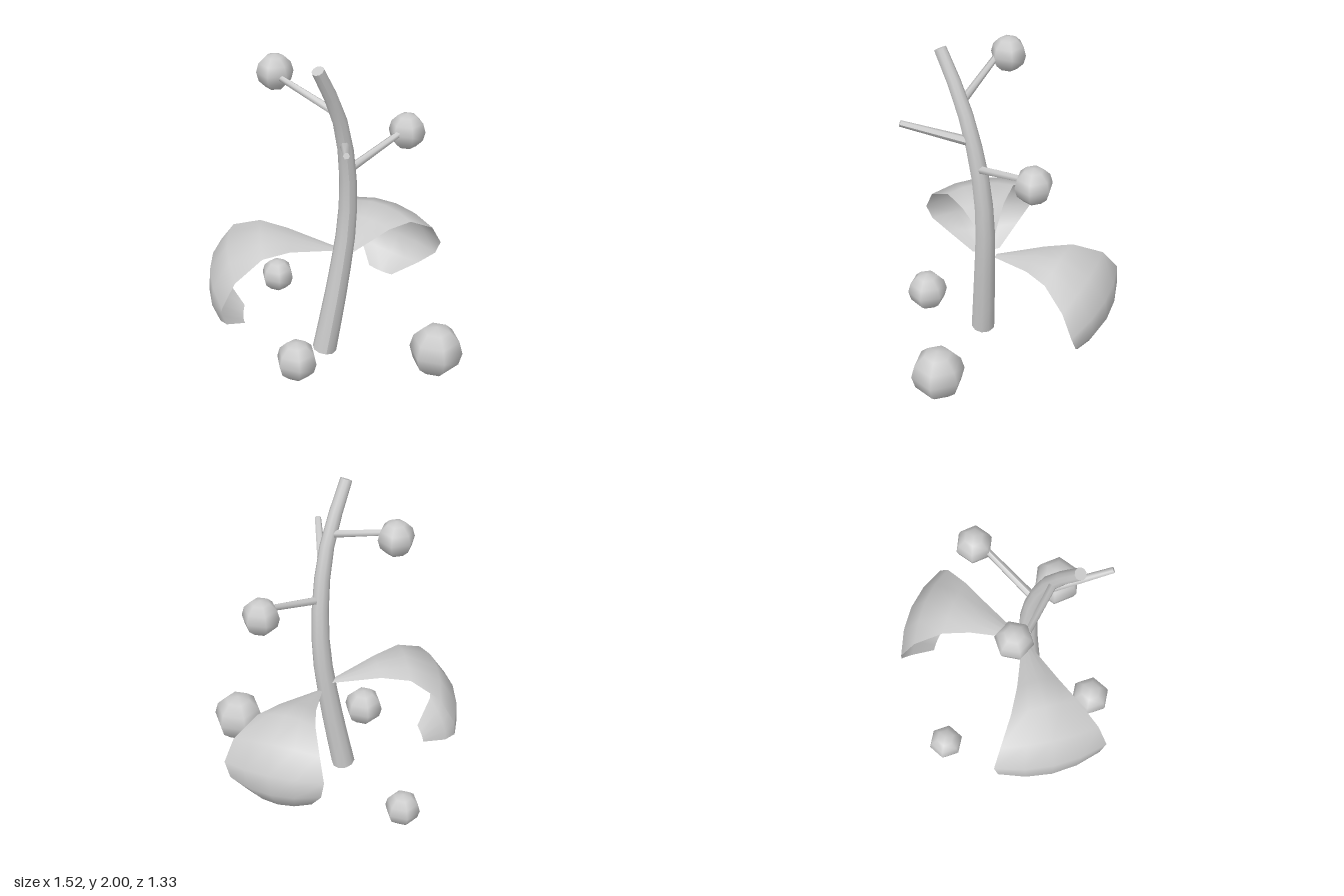
import * as THREE from 'three';

const V = (x, y, z) => new THREE.Vector3(x, y, z);

export function createModel() {
  const model = new THREE.Group();
  const solid = new THREE.MeshStandardMaterial({ color: 0xcccccc });
  const thin = new THREE.MeshStandardMaterial({ color: 0xcccccc, side: THREE.DoubleSide });

  const add = (name, geometry, material = solid, parent = model) => {
    const mesh = new THREE.Mesh(geometry, material);
    mesh.name = name;
    parent.add(mesh);
    return mesh;
  };

  // Tapered, capped tube along a path
  const limb = (name, points, r0, r1, steps, sides) => {
    const group = new THREE.Group();
    group.name = name;
    model.add(group);
    const curve = new THREE.CatmullRomCurve3(points);
    const tube = new THREE.TubeGeometry(curve, steps, r0, sides);
    const pos = tube.attributes.position;
    const p = V(0, 0, 0);
    for (let i = 0; i <= steps; i++) {
      const centre = curve.getPointAt(i / steps);
      const scale = THREE.MathUtils.lerp(1, r1 / r0, i / steps);
      for (let j = 0; j <= sides; j++) {
        const k = i * (sides + 1) + j;
        p.fromBufferAttribute(pos, k).sub(centre).multiplyScalar(scale).add(centre);
        pos.setXYZ(k, p.x, p.y, p.z);
      }
    }
    tube.computeVertexNormals();
    add(name + 'Tube', tube, solid, group);
    for (const [u, r, sign] of [[0, r0, -1], [1, r1, 1]]) {
      const cap = add(name + 'End', new THREE.CircleGeometry(r, sides), solid, group);
      cap.position.copy(curve.getPointAt(u));
      cap.quaternion.setFromUnitVectors(V(0, 0, 1), curve.getTangentAt(u).multiplyScalar(sign));
    }
  };

  // Bent main stem
  limb('stem', [
    V(-0.065, 0.015, 0.114), V(0.01, 0.45, 0.116), V(0.07, 0.9, 0.12), V(0.072, 1.22, 0.145),
    V(0.03, 1.55, 0.2), V(-0.03, 1.75, 0.25), V(-0.13, 1.985, 0.33),
  ], 0.075, 0.036, 10, 10);

  // Side twigs
  limb('upperTwig', [V(-0.02, 1.69, 0.23), V(-0.29, 1.81, -0.015)], 0.024, 0.019, 1, 6);
  limb('middleTwig', [V(0.07, 1.285, 0.16), V(0.42, 1.41, -0.035)], 0.026, 0.02, 1, 6);
  limb('frontTwig', [V(0.045, 1.455, 0.18), V(-0.016, 1.593, 0.59)], 0.029, 0.019, 1, 6);

  // Six-sided berries: position, radius, turn, polar sweep (one is open below)
  const berries = [
    ['upperBerry', V(-0.315, 1.82, -0.1), 0.108, 0, Math.PI * 5 / 6],
    ['middleBerry', V(0.468, 1.395, -0.083), 0.112, Math.PI / 6 + 0.1, Math.PI],
    ['frontRightBerry', V(-0.283, 0.178, 0.44), 0.127, Math.PI / 6, Math.PI],
    ['frontLeftBerry', V(0.555, 0.203, 0.5), 0.163, Math.PI / 6 + 0.08, Math.PI],
    ['backBerry', V(-0.278, 0.17, -0.555), 0.109, Math.PI / 6, Math.PI],
  ];
  for (const [name, at, r, turn, sweep] of berries) {
    const open = sweep < Math.PI;
    const berry = add(name, new THREE.SphereGeometry(r, 6, open ? 5 : 6, 0, Math.PI * 2, 0, sweep), open ? thin : solid);
    berry.position.copy(at);
    berry.rotation.y = turn;
  }

  // Leaf midrib: distance outward, height, half width
  const midrib = [
    [0, 0, 0.02], [0.285, 0.1, 0.13], [0.465, 0.13, 0.21], [0.665, 0.045, 0.31],
    [0.775, -0.12, 0.36], [0.785, -0.27, 0.33], [0.72, -0.4, 0.23], [0.585, -0.49, 0.09],
  ];
  const across = 4;
  const leafGeometry = () => {
    const verts = [], index = [];
    midrib.forEach(([d, h, w], i) => {
      const a = midrib[Math.max(i - 1, 0)], b = midrib[Math.min(i + 1, midrib.length - 1)];
      const len = Math.hypot(b[0] - a[0], b[1] - a[1]);
      const nx = (b[1] - a[1]) / len, ny = -(b[0] - a[0]) / len;
      for (let j = 0; j <= across; j++) {
        const s = (j / across) * 2 - 1;
        const cup = 0.21 * w * s * s; // edges curl inward
        verts.push(d + nx * cup, h + ny * cup, s * w);
        if (i && j) {
          const k = i * (across + 1) + j, q = k - across - 1;
          index.push(q - 1, q, k, q - 1, k, k - 1);
        }
      }
    });
    const g = new THREE.BufferGeometry();
    g.setAttribute('position', new THREE.Float32BufferAttribute(verts, 3));
    g.setIndex(index);
    g.computeVertexNormals();
    return g;
  };

  // Two drooping leaves: base, heading, roll, scale
  const leaves = [
    ['rightLeaf', V(0.02, 0.72, 0.085), 3.06, -0.08, 1],
    ['leftLeaf', V(0.1, 0.675, 0.06), 0.896, 0.13, 0.93],
  ];
  for (const [name, at, heading, roll, scale] of leaves) {
    const leaf = add(name, leafGeometry(), thin);
    leaf.position.copy(at);
    leaf.rotation.set(roll, heading, 0, 'YXZ');
    leaf.scale.setScalar(scale);
  }
  return model;
}
